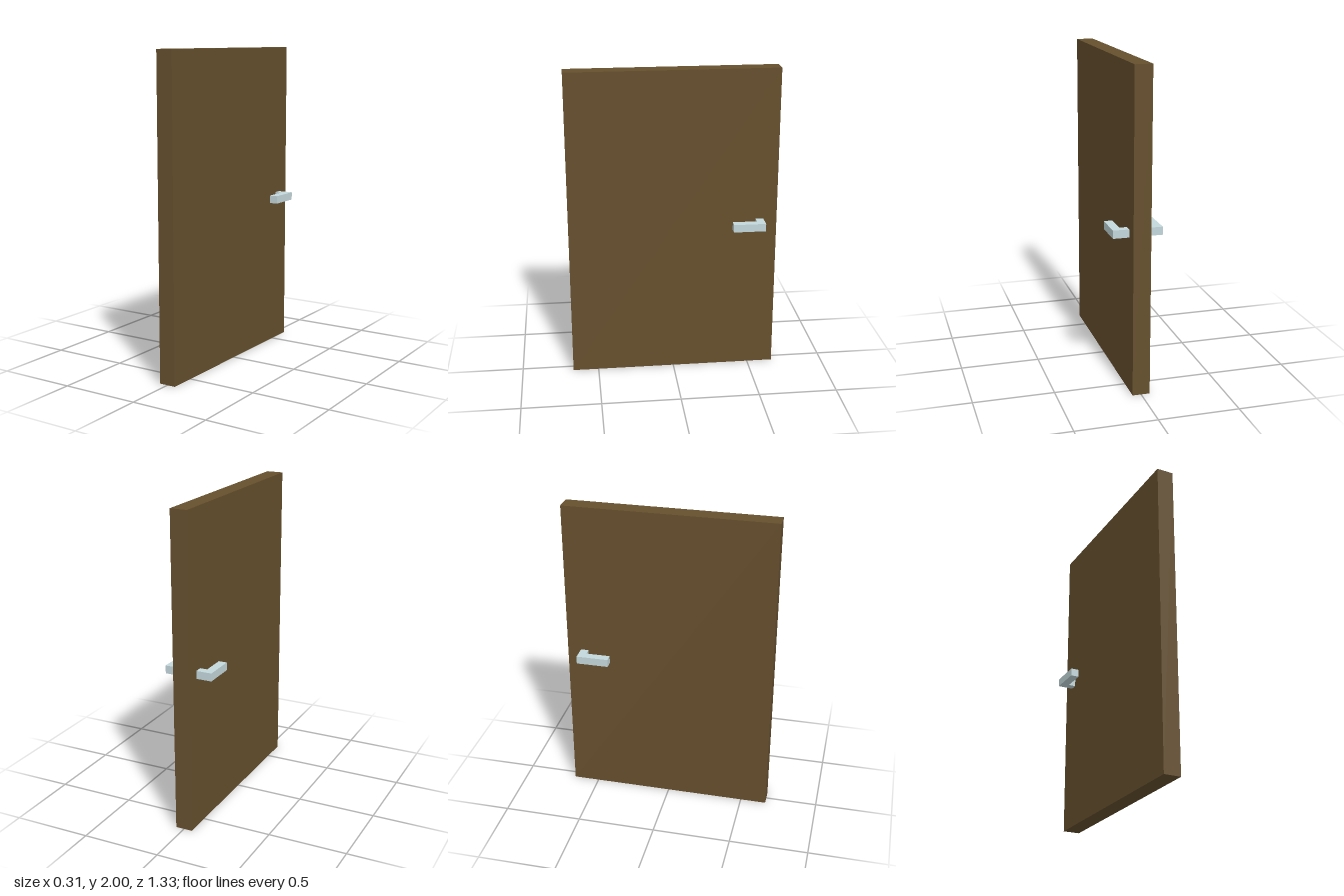
import * as THREE from 'three';

const WIDTH = 1.333, HEIGHT = 2, THICK = 0.108;

// L-shaped lever: a short stem out of the door, then a grip along it
function createHandle(side, material) {
  const height = 0.05;
  const outline = [[0.05, 0.58], [0.153, 0.58], [0.153, 0.375], [0.1, 0.375], [0.1, 0.53], [0.05, 0.53]];
  const shape = new THREE.Shape(outline.map(([x, y]) => new THREE.Vector2(side * x, y)));
  const geometry = new THREE.ExtrudeGeometry(shape, { depth: height, bevelEnabled: false });
  geometry.rotateX(-Math.PI / 2); // outline lies flat, extruded upward
  geometry.translate(0, HEIGHT / 2 - height / 2, 0);
  const handle = new THREE.Mesh(geometry, material);
  handle.name = side > 0 ? 'leftHandle' : 'rightHandle';
  return handle;
}

export function createModel() {
  const group = new THREE.Group();
  group.name = 'door';
  const wood = new THREE.MeshStandardMaterial({ color: 0x66502e });
  const metal = new THREE.MeshStandardMaterial({ color: 0xc4d8dc });

  // Door slab
  const panel = new THREE.Mesh(new THREE.BoxGeometry(THICK, HEIGHT, WIDTH), wood);
  panel.name = 'doorPanel';
  panel.position.y = HEIGHT / 2;
  group.add(panel);

  // One handle on each face
  for (const side of [-1, 1]) group.add(createHandle(side, metal));
  return group;
}
